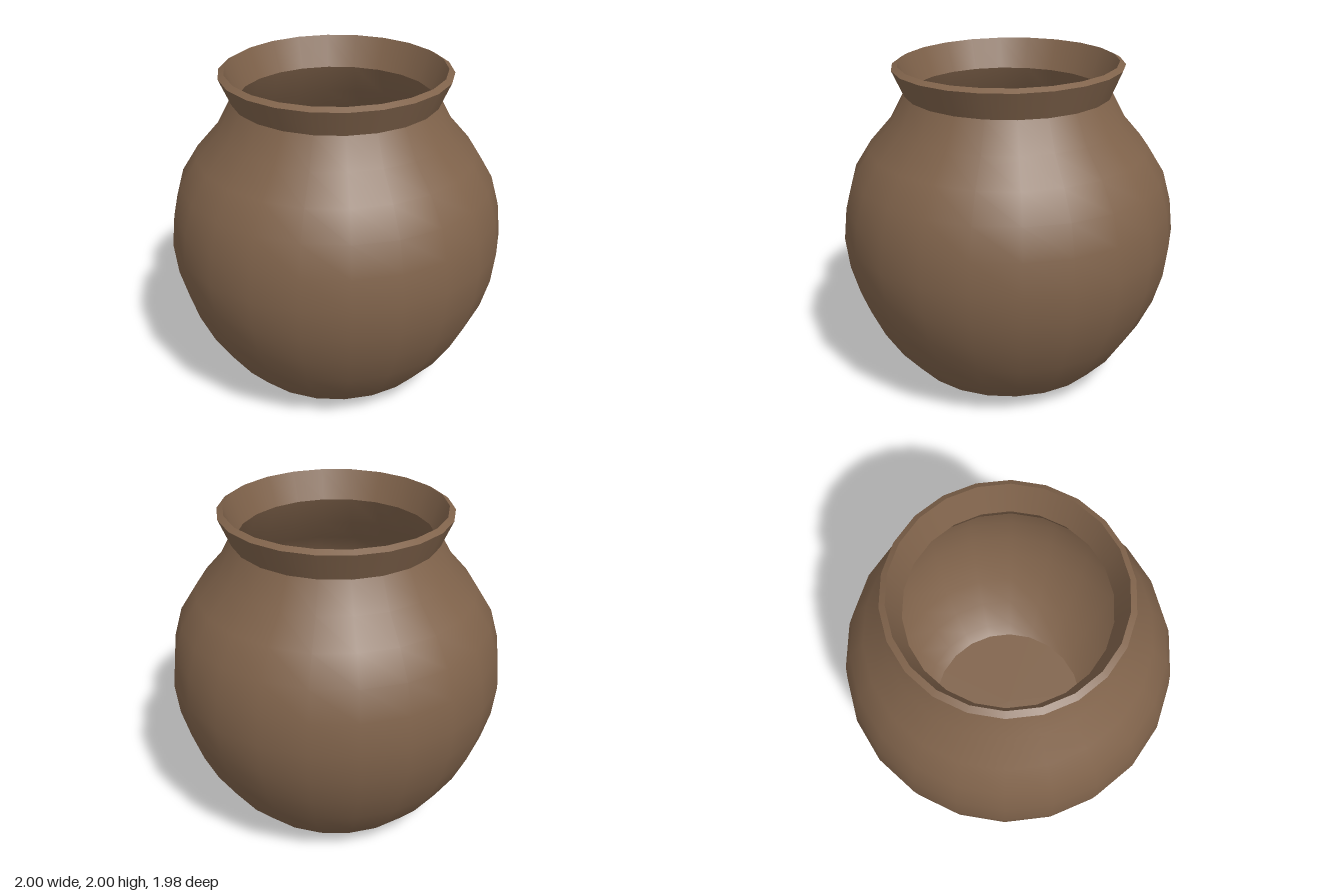
import * as THREE from 'three';

const SIDES = 22;

// Revolve a [radius, y] profile; the neck's top edge leans very slightly
function revolve(name, profile, material) {
  const points = profile.map(([r, y]) => new THREE.Vector2(r, y));
  const geometry = new THREE.LatheGeometry(points, SIDES, Math.PI / 2);
  const p = geometry.attributes.position;
  for (let i = 0; i < p.count; i++) {
    if (p.getY(i) > 1.9) p.setY(i, p.getY(i) + 0.008 * (p.getX(i) - p.getZ(i)));
  }
  const mesh = new THREE.Mesh(geometry, material);
  mesh.name = name;
  return mesh;
}

export function createModel() {
  const clay = new THREE.MeshStandardMaterial({ color: 0x80634b });
  clay.name = 'brown clay';

  const pot = new THREE.Group();
  pot.name = 'pot';

  // Rounded belly, smooth into the base
  pot.add(revolve('outerBody', [
    [0, 0], [0.44, 0], [0.6, 0.1], [0.73, 0.24], [0.84, 0.41], [0.925, 0.59], [0.977, 0.77],
    [1, 0.96], [0.98, 1.15], [0.93, 1.33], [0.83, 1.49], [0.7, 1.64], [0.61, 1.81],
  ], clay));

  // Flared neck and its lip
  pot.add(revolve('neckOuter', [[0.61, 1.81], [0.68, 1.97]], clay));
  pot.add(revolve('lip', [[0.68, 1.97], [0.645, 1.99]], clay));
  pot.add(revolve('neckInner', [[0.645, 1.99], [0.575, 1.81]], clay));

  // Hollow inside
  pot.add(revolve('innerBody', [
    [0.575, 1.81], [0.665, 1.62], [0.8, 1.46], [0.89, 1.31], [0.94, 1.14], [0.958, 0.96],
    [0.936, 0.78], [0.887, 0.61], [0.805, 0.43], [0.7, 0.27], [0.58, 0.14], [0.51, 0.09],
  ], clay));
  pot.add(revolve('innerFloor', [[0.51, 0.09], [0, 0.09]], clay));

  return pot;
}
